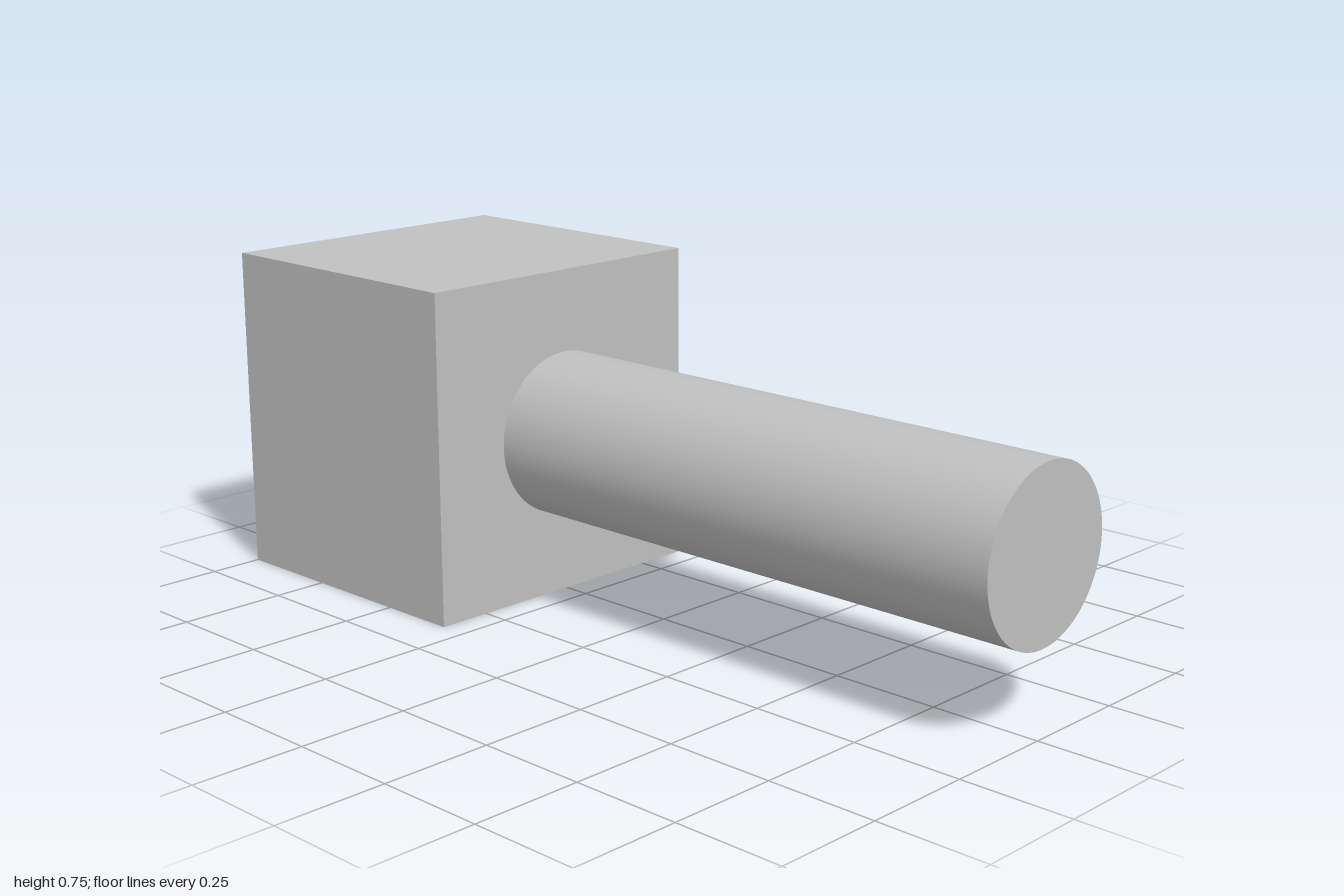
import * as THREE from 'three';

export function createModel() {
  const model = new THREE.Group();
  model.name = 'blockWithShaft';

  const lightGrey = new THREE.MeshStandardMaterial({ color: 0xc0c0c0 });
  lightGrey.name = 'lightGrey';

  const size = 0.75;       // block width and height
  const depth = 0.6875;    // block depth
  const joint = -1 + depth; // front face of the block

  // Block at the back
  const block = new THREE.Mesh(new THREE.BoxGeometry(size, size, depth), lightGrey);
  block.name = 'block';
  block.position.set(0, size / 2, -1 + depth / 2);

  // Round shaft reaching forward from the block
  const length = 1 - joint;
  const shaftGeometry = new THREE.CylinderGeometry(size / 4, size / 4, length, 96);
  shaftGeometry.rotateX(Math.PI / 2);
  const shaft = new THREE.Mesh(shaftGeometry, lightGrey);
  shaft.name = 'shaft';
  shaft.position.set(0, size / 2, joint + length / 2);

  model.add(block, shaft);
  return model;
}
